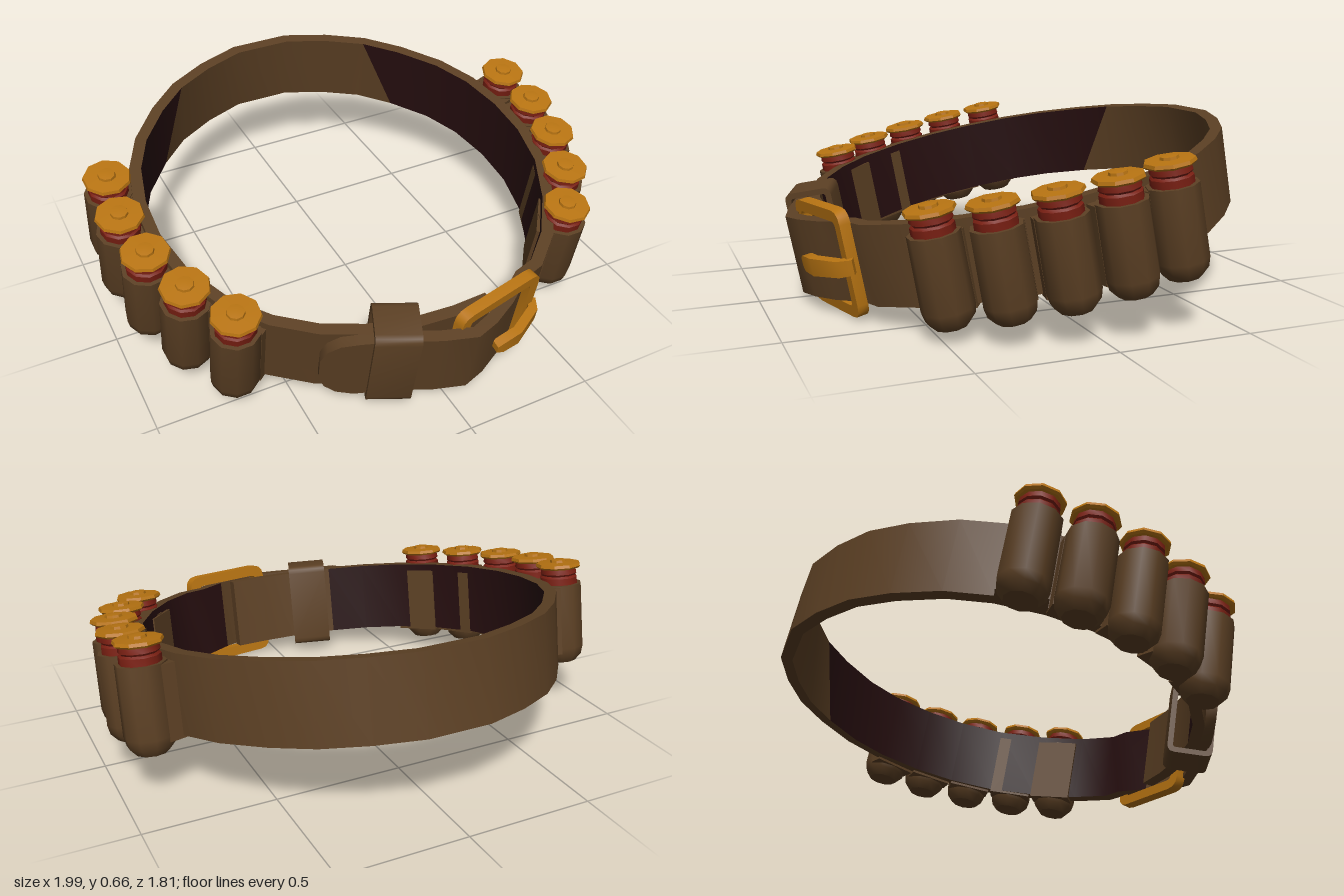
import * as THREE from 'three';
import { toCreasedNormals } from 'three/addons/utils/BufferGeometryUtils.js';

const mat = (name, color) => {
  const m = new THREE.MeshStandardMaterial({ color });
  m.name = name;
  return m;
};

// Upright strap swept along [x, z, halfHeight] points; outside lies to the left of travel.
// liningAt(midX, midZ) gives 0 = leather, 1 = lining, 2 = diagonal half of each.
function ribbon(points, thickness, liningAt = () => 0) {
  const pos = [], leather = [], lining = [], n = points.length;
  points.forEach(([x, z, h], i) => {
    const a = points[Math.max(i - 1, 0)], b = points[Math.min(i + 1, n - 1)];
    const tx = b[0] - a[0], tz = b[1] - a[1], s = thickness / 2 / Math.hypot(tx, tz);
    const ox = tz * s, oz = -tx * s;
    pos.push(x + ox, -h, z + oz, x + ox, h, z + oz, x - ox, h, z - oz, x - ox, -h, z - oz);
  });
  for (let i = 0; i < n - 1; i++) {
    const mx = (points[i][0] + points[i + 1][0]) / 2, mz = (points[i][1] + points[i + 1][1]) / 2;
    for (let k = 0; k < 4; k++) {
      const k2 = (k + 1) % 4;
      const a = i * 4 + k, b = i * 4 + k2, c = i * 4 + 4 + k2, d = i * 4 + 4 + k;
      const kind = k === 2 ? liningAt(mx, mz) : 0;
      if (kind === 2 && mx < 0) { lining.push(a, b, d); leather.push(b, c, d); }
      else if (kind === 2) { lining.push(a, c, d); leather.push(a, b, c); }
      else (kind ? lining : leather).push(a, b, c, a, c, d);
    }
  }
  const e = (n - 1) * 4;
  leather.push(0, 2, 1, 0, 3, 2, e, e + 1, e + 2, e, e + 2, e + 3);
  const g = new THREE.BufferGeometry();
  g.setAttribute('position', new THREE.Float32BufferAttribute(pos, 3));
  g.setIndex([...leather, ...lining]);
  g.addGroup(0, leather.length, 0);
  if (lining.length) g.addGroup(leather.length, lining.length, 1);
  return toCreasedNormals(g, 0.6);
}

function roundedRect(target, w, h, r) {
  const x = w / 2, y = h / 2;
  target.moveTo(-x + r, -y);
  target.lineTo(x - r, -y).quadraticCurveTo(x, -y, x, -y + r);
  target.lineTo(x, y - r).quadraticCurveTo(x, y, x - r, y);
  target.lineTo(-x + r, y).quadraticCurveTo(-x, y, -x, y - r);
  target.lineTo(-x, -y + r).quadraticCurveTo(-x, -y, -x + r, -y);
  return target;
}

// Hollow rounded frame, extruded along z and centred
function frame(w, h, r, wall, depth) {
  const shape = roundedRect(new THREE.Shape(), w, h, r);
  shape.holes.push(roundedRect(new THREE.Path(), w - wall * 2, h - wall * 2, r * 0.4));
  const g = new THREE.ExtrudeGeometry(shape, { depth, bevelEnabled: false, curveSegments: 3 });
  g.translate(0, 0, -depth / 2);
  return toCreasedNormals(g, 0.6);
}

function lathe(profile, sides, crease = 0.75) {
  const g = new THREE.LatheGeometry(profile.map(([r, y]) => new THREE.Vector2(r, y)), sides);
  return toCreasedNormals(g, crease);
}

export function createModel() {
  const leather = mat('brown leather', 0x5c4024);
  const lining = mat('dark lining', 0x260e0f);
  const brass = mat('brass', 0xb87412);
  const red = mat('red shell', 0x7a1f12);

  const model = new THREE.Group();
  model.name = 'cartridgeBelt';
  const belt = new THREE.Group();
  belt.name = 'tiltedBelt';
  belt.position.y = 0.345;
  belt.rotation.x = 0.183;
  model.add(belt);
  const add = (name, geometry, material, parent = belt) => {
    const m = new THREE.Mesh(geometry, material);
    m.name = name;
    parent.add(m);
    return m;
  };

  // Strap: inner end, around the back, then over the buckle to the rounded tip
  const H = 0.15;
  const side = [[0.567, 0.572], [0.68, 0.413], [0.772, 0.22], [0.808, 0.03], [0.803, -0.15],
    [0.763, -0.328], [0.69, -0.478], [0.57, -0.625], [0.445, -0.738], [0.29, -0.82], [0.12, -0.878]];
  const path = [
    [0.19, 0.75], [0.05, 0.755], [-0.1, 0.745], [-0.28, 0.705], [-0.43, 0.64],
    ...side.map(([x, z]) => [-x, z - (z > 0.5 ? 0.03 : 0)]),
    ...side.slice().reverse(),
    [0.445, 0.68], [0.36, 0.705], [0.25, 0.785], [0.15, 0.838], [0.07, 0.865],
    [-0.05, 0.832], [-0.18, 0.778], [-0.32, 0.735],
  ].map(([x, z]) => [x, z, H]);
  path.push([-0.38, 0.71, 0.135], [-0.42, 0.692, 0.1], [-0.44, 0.683, 0.05]);
  const liningAt = (x, z) => {
    if (z > 0) return Math.abs(x) > 0.3 ? 1 : 0;
    return Math.abs(x) > 0.55 ? 1 : Math.abs(x) > 0.45 ? 2 : 0;
  };
  add('strap', ribbon(path, 0.046, liningAt), [leather, lining]);

  // Keeper loop
  const keeper = add('keeperLoop', frame(0.18, 0.37, 0.03, 0.022, 0.165), leather);
  keeper.position.set(-0.18, 0, 0.735);
  keeper.rotation.y = Math.PI / 2 - 0.39;

  // Buckle frame and prong
  const buckle = add('buckleFrame', frame(0.385, 0.4, 0.05, 0.043, 0.042), brass);
  buckle.position.set(0.21, 0, 0.778);
  buckle.rotation.y = 0.21;
  add('buckleProng', ribbon([[0.41, 0.74, 0.028], [0.39, 0.785, 0.03], [0.28, 0.85, 0.033],
    [0.21, 0.862, 0.03], [0.18, 0.862, 0.015]], 0.036), brass);

  // Shell pouches, mirrored on both sides
  const pouchGeo = lathe([[0, -0.205], [0.06, -0.205], [0.086, -0.175], [0.094, -0.14],
    [0.092, 0.125], [0.076, 0.125], [0.076, 0.1]], 10);
  const backGeo = new THREE.BoxGeometry(0.18, 0.28, 0.07);
  const shellGeo = lathe([[0.076, 0.09], [0.076, 0.152], [0.068, 0.16], [0.075, 0.168], [0.07, 0.198]], 10);
  const capGeo = lathe([[0, 0.19], [0.084, 0.19], [0.092, 0.198], [0.088, 0.21], [0.034, 0.212],
    [0.032, 0.222], [0, 0.226]], 9, 0.4);
  const spots = [[0.685, 0.512], [0.8, 0.333], [0.875, 0.135], [0.903, -0.07], [0.888, -0.27]];
  for (const s of [1, -1]) {
    spots.forEach(([x, z], i) => {
      const unit = new THREE.Group();
      unit.name = `${s > 0 ? 'left' : 'right'}ShellPouch${i + 1}`;
      unit.position.set(s * x, 0, z);
      unit.rotation.y = Math.atan2(s * x, z);
      belt.add(unit);
      add('pouch', pouchGeo, leather, unit);
      add('pouchBacking', backGeo, leather, unit).position.set(0, -0.02, -0.06);
      add('shellBody', shellGeo, red, unit);
      add('shellCap', capGeo, brass, unit);
    });
  }
  return model;
}
